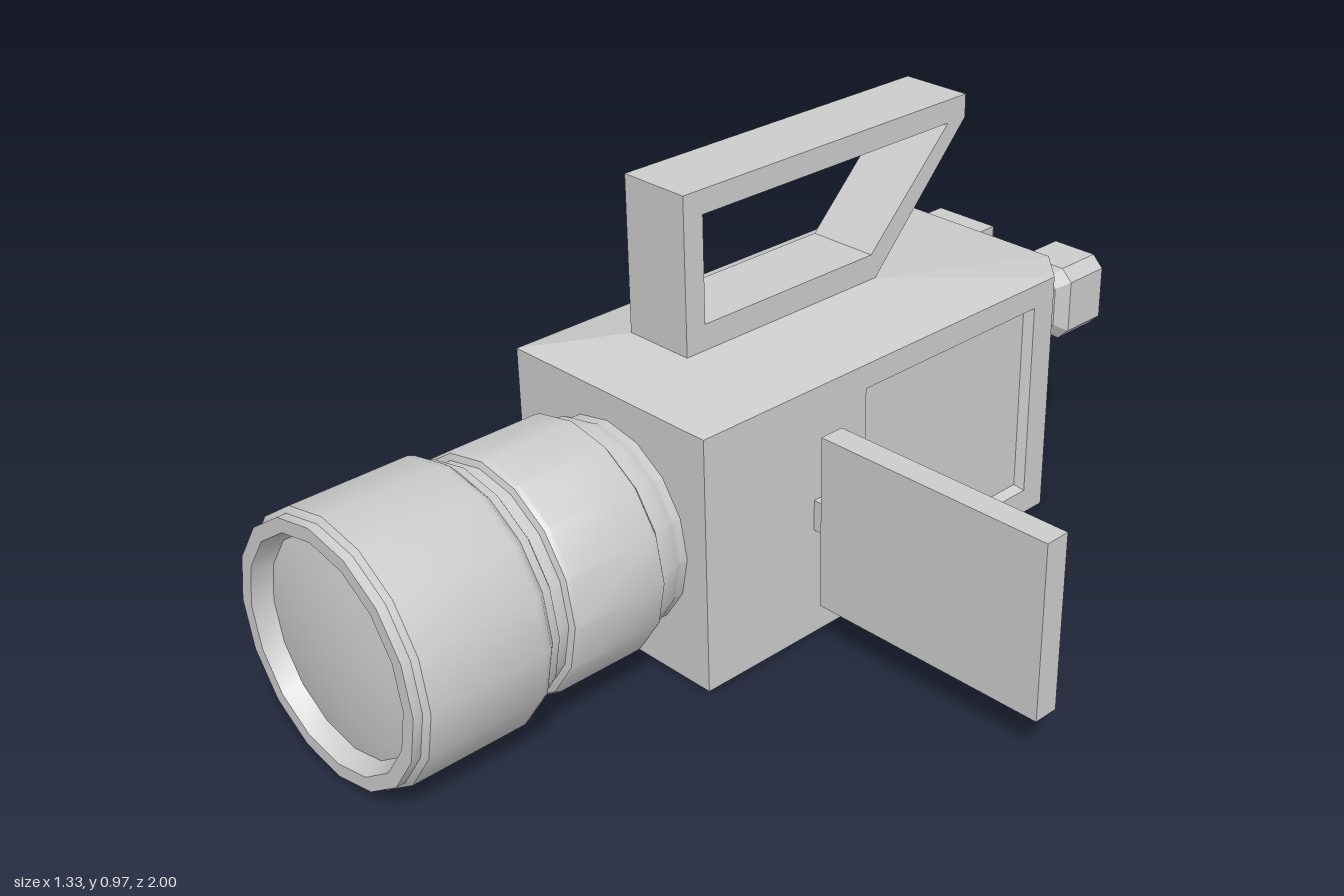
import * as THREE from 'three';
import { toCreasedNormals } from 'three/addons/utils/BufferGeometryUtils.js';
import { ConvexGeometry } from 'three/addons/geometries/ConvexGeometry.js';

const grey = new THREE.MeshStandardMaterial({ color: 0xcccccc });

function part(name, geometry, position = [0, 0, 0], rotation = [0, 0, 0]) {
  const mesh = new THREE.Mesh(geometry, grey);
  mesh.name = name;
  mesh.position.set(...position);
  mesh.rotation.set(...rotation);
  return mesh;
}

// Rectangle loop, corners cut by c, counter-clockwise seen from +z
function rect(w, h, z, c = 0, cx = 0, cy = 0) {
  const a = w / 2, b = h / 2;
  const flat = c
    ? [[c - a, -b], [a - c, -b], [a, c - b], [a, b - c], [a - c, b], [c - a, b], [-a, b - c], [-a, c - b]]
    : [[-a, -b], [a, -b], [a, b], [-a, b]];
  return flat.map(([x, y]) => [x + cx, y + cy, z]);
}

// Flat-faced skin through successive loops, closed at the last one
function loft(loops, closeStart = true) {
  const pos = [];
  const tri = (...p) => p.forEach((v) => pos.push(...v));
  const n = loops[0].length;
  for (let k = 0; k + 1 < loops.length; k++) {
    const a = loops[k], b = loops[k + 1];
    for (let i = 0; i < n; i++) {
      const j = (i + 1) % n;
      tri(a[i], a[j], b[j]);
      tri(a[i], b[j], b[i]);
    }
  }
  const first = loops[0], last = loops[loops.length - 1];
  for (let i = 1; i + 1 < n; i++) {
    tri(last[0], last[i], last[i + 1]);
    if (closeStart) tri(first[0], first[i + 1], first[i]);
  }
  const geometry = new THREE.BufferGeometry();
  geometry.setAttribute('position', new THREE.Float32BufferAttribute(pos, 3));
  geometry.computeVertexNormals();
  return geometry;
}

// Extruded outline with one hole
function ring(outer, inner, depth) {
  const points = (list) => list.map(([x, y]) => new THREE.Vector2(x, y));
  const shape = new THREE.Shape(points(outer));
  shape.holes.push(new THREE.Path(points(inner)));
  return new THREE.ExtrudeGeometry(shape, { depth, bevelEnabled: false });
}

// Body shell, left open on its +x side for the recessed panel
function bodyShell() {
  const points = [];
  const add = (x, y, z) => points.push(new THREE.Vector3(x, y, z));
  for (const y of [0, 0.575]) {
    for (const [x, z] of [[0.06, 0.31], [0.06, -0.745], [-0.02, -0.825], [-0.44, -0.825], [-0.5, -0.775], [-0.5, 0.31]]) add(x, y, z);
  }
  for (const y of [0.175, 0.4]) for (const z of [-0.775, 0.25]) add(-0.535, y, z);
  for (const x of [-0.3, -0.135]) for (const z of [0.17, -0.37]) add(x, 0.63, z);
  const hull = new ConvexGeometry(points).getAttribute('position');
  const kept = [];
  for (let i = 0; i < hull.count; i += 3) {
    const corners = [i, i + 1, i + 2];
    if (corners.every((c) => hull.getX(c) > 0.0599)) continue;
    corners.forEach((c) => kept.push(hull.getX(c), hull.getY(c), hull.getZ(c)));
  }
  const geometry = new THREE.BufferGeometry();
  geometry.setAttribute('position', new THREE.Float32BufferAttribute(kept, 3));
  geometry.computeVertexNormals();
  return geometry;
}

export function createModel() {
  const model = new THREE.Group();
  model.name = 'videoCamera';
  const back = [0, Math.PI, 0];
  const side = [0, Math.PI / 2, 0];

  // Body and the screen bay in its side
  model.add(part('body', bodyShell()));
  model.add(part('screenBay', loft([
    rect(1.055, 0.575, 0),
    rect(0.54, 0.46, 0, 0, 0.1925, 0.0025),
    rect(0.515, 0.435, -0.02, 0, 0.1925, 0.0025),
  ], false), [0.06, 0.2875, -0.2175], side));

  // Lens barrel, rim and domed glass, as [radius, z]
  const profile = [
    [0.225, 0.3], [0.225, 0.33], [0.235, 0.35], [0.238, 0.385], [0.258, 0.4], [0.26, 0.41],
    [0.26, 0.61], [0.255, 0.62], [0.242, 0.625], [0.242, 0.65], [0.258, 0.66], [0.262, 0.68],
    [0.278, 0.695], [0.283, 0.71], [0.283, 0.97], [0.272, 0.98], [0.272, 1], [0.242, 1],
    [0.228, 0.96], [0.17, 0.972], [0.09, 0.981], [0, 0.985],
  ].map(([r, z]) => new THREE.Vector2(r, z));
  const lens = toCreasedNormals(new THREE.LatheGeometry(profile, 16), 0.5);
  model.add(part('lens', lens, [-0.22, 0.287, 0], [Math.PI / 2, 0, 0]));

  // Carrying handle
  model.add(part('handle', ring(
    [[-0.17, 0.625], [0.37, 0.625], [0.65, 0.92], [0.65, 0.972], [-0.17, 0.972]],
    [[-0.12, 0.687], [0.36, 0.687], [0.595, 0.92], [-0.12, 0.92]],
    0.167), [-0.302, 0, 0], side));

  // Hand strap
  model.add(part('handStrap', ring(
    [[-0.53, -0.775], [-0.62, -0.66], [-0.652, -0.49], [-0.667, -0.19], [-0.652, 0], [-0.62, 0.17], [-0.53, 0.255]],
    [[-0.545, -0.57], [-0.58, -0.57], [-0.612, -0.47], [-0.63, -0.19], [-0.612, 0], [-0.578, 0.165], [-0.545, 0.13]],
    0.225), [0, 0.4, 0], [Math.PI / 2, 0, 0]));

  // Fold-out screen with its framed face to the rear
  model.add(part('screen', loft([
    rect(0.57, 0.395, 0), rect(0.57, 0.395, 0.058),
    rect(0.52, 0.345, 0.058), rect(0.5, 0.325, 0.04),
  ]), [0.38, 0.2875, 0.027], back));
  model.add(part('screenHinge', new THREE.BoxGeometry(0.05, 0.07, 0.02), [0.08, 0.285, 0]));

  // Viewfinder with a sunken eyepiece
  model.add(part('viewfinder', loft([
    rect(0.115, 0.13, 0, 0.02), rect(0.115, 0.13, 0.04, 0.02),
    rect(0.165, 0.175, 0.065, 0.027), rect(0.165, 0.175, 0.18, 0.027),
    rect(0.11, 0.12, 0.18, 0.012), rect(0.095, 0.105, 0.15, 0.01),
  ]), [-0.08, 0.437, -0.82], back));

  // Battery pack
  model.add(part('battery', loft([
    rect(0.165, 0.47, 0), rect(0.165, 0.47, 0.125), rect(0.105, 0.4, 0.165),
  ]), [-0.3625, 0.3, -0.82], back));

  return model;
}
